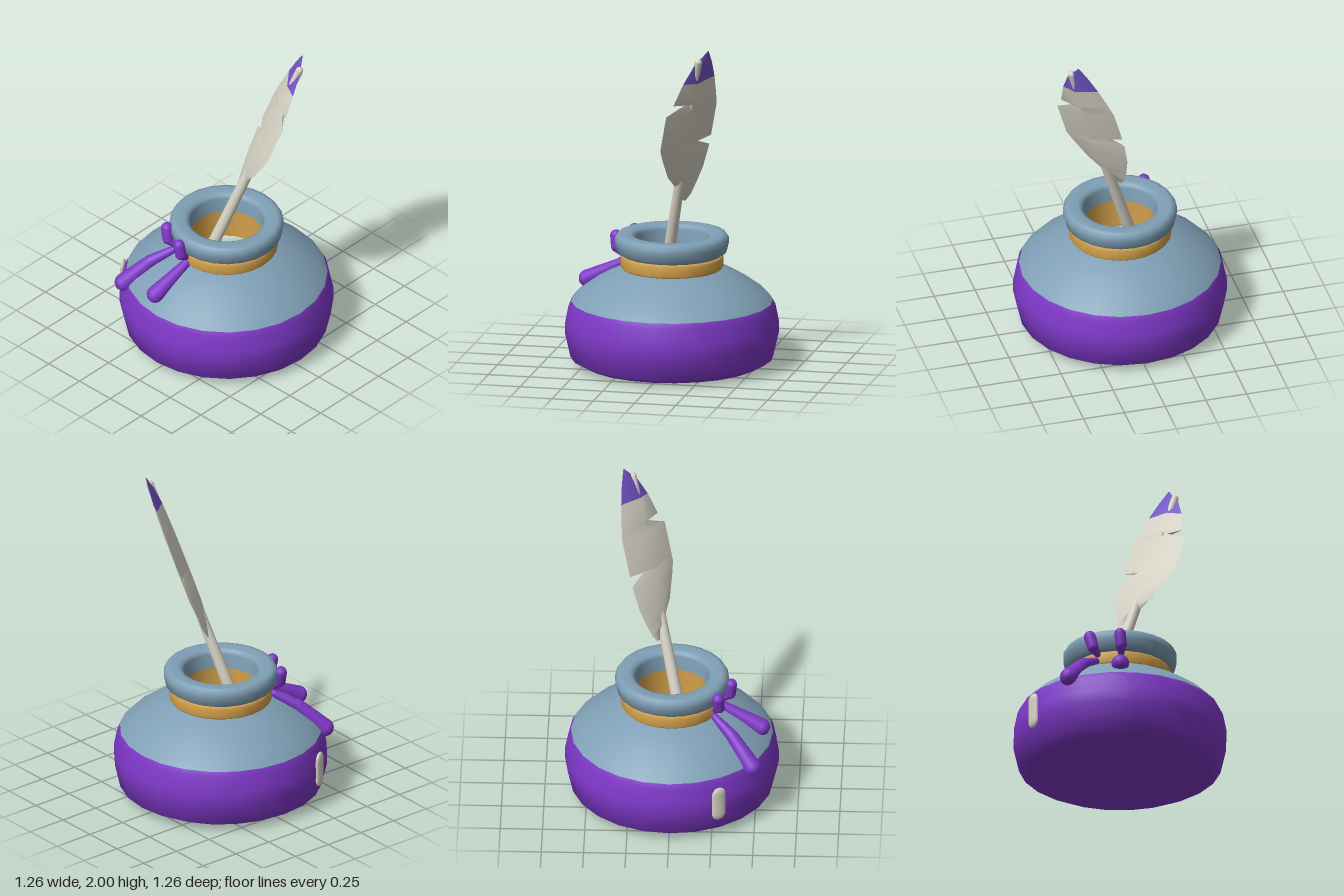
import * as THREE from 'three';

const mat = (name, color, side = THREE.FrontSide) => {
  const m = new THREE.MeshStandardMaterial({ color, side });
  m.name = name;
  return m;
};

export function createModel() {
  const purple = mat('purple', 0x7f38c8);
  const blue = mat('greyBlue', 0x7f9fb5);
  const gold = mat('gold', 0xd2a04a);
  const ivory = mat('ivory', 0xd8d4c6);
  const violet = mat('violet', 0x7354c8);

  const group = new THREE.Group();
  const add = (name, geometry, material, parent = group) => {
    const mesh = new THREE.Mesh(geometry, material);
    mesh.name = name;
    parent.add(mesh);
    return mesh;
  };
  const lathe = (pts) => new THREE.LatheGeometry(pts.map(([r, y]) => new THREE.Vector2(r, y)), 24);

  // Jar, turned in rings; rising profiles face out, falling ones face in
  add('jarBase', lathe([[0, 0], [0.3, 0.002], [0.53, 0.012], [0.6, 0.05], [0.632, 0.19],
    [0.632, 0.26], [0.612, 0.36], [0.597, 0.39]]), purple);
  add('jarShoulder', lathe([[0.597, 0.39], [0.55, 0.44], [0.45, 0.512], [0.37, 0.557],
    [0.3, 0.588], [0.27, 0.595]]), blue);
  add('neckBand', lathe([[0.27, 0.583], [0.295, 0.588], [0.305, 0.6], [0.305, 0.655],
    [0.295, 0.668], [0.26, 0.675]]), gold);
  add('rim', lathe([[0.25, 0.67], [0.3, 0.673], [0.325, 0.69], [0.337, 0.74], [0.337, 0.77],
    [0.322, 0.793], [0.3, 0.798], [0.25, 0.796], [0.228, 0.785], [0.219, 0.765], [0.212, 0.68]]), blue);
  add('neckInside', lathe([[0.212, 0.68], [0.212, 0.5]]), gold);
  const ink = add('ink', new THREE.CircleGeometry(0.4, 24), purple);
  ink.rotation.x = -Math.PI / 2;
  ink.position.y = 0.3;

  // Round-ended taper between two points
  const UP = new THREE.Vector3(0, 1, 0);
  const taper = (name, from, to, ra, rb, material, parent = group) => {
    const a = new THREE.Vector3(...from), b = new THREE.Vector3(...to);
    const dir = b.clone().sub(a), len = dir.length(), pts = [];
    for (let i = 0; i <= 4; i++) {
      const t = (i / 4) * Math.PI / 2;
      pts.push([ra * Math.sin(t), -ra * Math.cos(t)]);
    }
    for (let i = 0; i <= 4; i++) {
      const t = (i / 4) * Math.PI / 2;
      pts.push([rb * Math.cos(t), len + rb * Math.sin(t)]);
    }
    const mesh = add(name, lathe(pts), material, parent);
    mesh.position.copy(a);
    mesh.quaternion.setFromUnitVectors(UP, dir.normalize());
  };

  // Tied ribbon: two short upright ends and two hanging tails
  taper('ribbonLoopRight', [-0.175, 0.65, 0.265], [-0.205, 0.685, 0.285], 0.02, 0.034, purple);
  taper('ribbonLoopRightTop', [-0.205, 0.685, 0.285], [-0.222, 0.752, 0.278], 0.034, 0.036, purple);
  taper('ribbonLoopLeft', [-0.04, 0.65, 0.31], [-0.045, 0.685, 0.345], 0.02, 0.034, purple);
  taper('ribbonLoopLeftTop', [-0.045, 0.685, 0.345], [-0.053, 0.752, 0.352], 0.034, 0.034, purple);
  taper('ribbonTailRight', [-0.185, 0.605, 0.26], [-0.275, 0.53, 0.365], 0.022, 0.037, purple);
  taper('ribbonTailRightEnd', [-0.275, 0.53, 0.365], [-0.38, 0.385, 0.485], 0.037, 0.053, purple);
  taper('ribbonTailLeft', [-0.042, 0.6, 0.3], [-0.078, 0.475, 0.53], 0.027, 0.052, purple);

  // Pale shine on the side of the jar
  const shine = add('shine', new THREE.CapsuleGeometry(0.045, 0.13, 4, 10), ivory);
  const angle = Math.atan2(-0.575, 0.3);
  shine.scale.z = 0.35;
  shine.rotation.y = angle;
  shine.position.set(0.635 * Math.sin(angle), 0.24, 0.635 * Math.cos(angle));

  // Quill: local x across the blade, y along the shaft, z through it
  const quill = new THREE.Group();
  quill.name = 'quill';
  const along = new THREE.Vector3(0.3, 0.933, -0.199).normalize();
  const across = new THREE.Vector3(0.752, -0.102, 0.652);
  across.addScaledVector(along, -across.dot(along)).normalize();
  quill.quaternion.setFromRotationMatrix(
    new THREE.Matrix4().makeBasis(across, along, across.clone().cross(along)));
  quill.position.y = 0.8;
  group.add(quill);
  taper('shaft', [0, -0.48, 0], [0, 1.215, 0], 0.038, 0.022, ivory, quill);

  // Blade rows: left edge, middle, right edge (x, y each), half thickness
  const rows = [
    [-0.07, 0.212, -0.058, 0.212, -0.045, 0.216, 0.004],
    [-0.1, 0.25, -0.05, 0.27, -0.02, 0.3, 0.016],
    [-0.13, 0.33, 0, 0.34, 0.027, 0.328, 0.026],
    [-0.161, 0.427, 0, 0.42, 0.098, 0.42, 0.035],
    [-0.183, 0.582, 0, 0.56, 0.16, 0.56, 0.036],
    [-0.073, 0.638, 0, 0.63, 0.186, 0.63, 0.036],
    [-0.185, 0.645, 0, 0.65, 0.186, 0.68, 0.036],
    [-0.19, 0.87, 0, 0.87, 0.182, 0.875, 0.034],
    [-0.178, 0.93, 0, 0.932, 0.033, 0.932, 0.032],
    [-0.175, 0.945, 0, 0.945, 0.14, 0.942, 0.032],
    [-0.141, 1.08, 0, 1.08, 0.09, 1.08, 0.027],
    [-0.105, 1.19, -0.02, 1.19, 0.03, 1.19, 0.016],
    [-0.066, 1.28, -0.064, 1.28, -0.062, 1.28, 0.002],
  ];
  const blade = (part) => {
    const pos = [], index = [];
    for (const side of [1, -1]) {
      const start = pos.length / 3;
      part.forEach(([lx, ly, mx, my, rx, ry, h]) =>
        pos.push(lx, ly, 0, mx, my, side * h, rx, ry, 0));
      for (let i = 0; i < part.length - 1; i++) {
        for (let j = 0; j < 2; j++) {
          const a = start + i * 3 + j, b = a + 1, c = a + 4, d = a + 3;
          if (side > 0) index.push(a, b, c, a, c, d);
          else index.push(a, c, b, a, d, c);
        }
      }
    }
    const g = new THREE.BufferGeometry();
    g.setAttribute('position', new THREE.Float32BufferAttribute(pos, 3));
    g.setIndex(index);
    g.computeVertexNormals();
    return g;
  };
  add('featherBlade', blade(rows.slice(0, 11)), ivory, quill);
  add('featherTip', blade(rows.slice(10)), violet, quill);

  return group;
}
